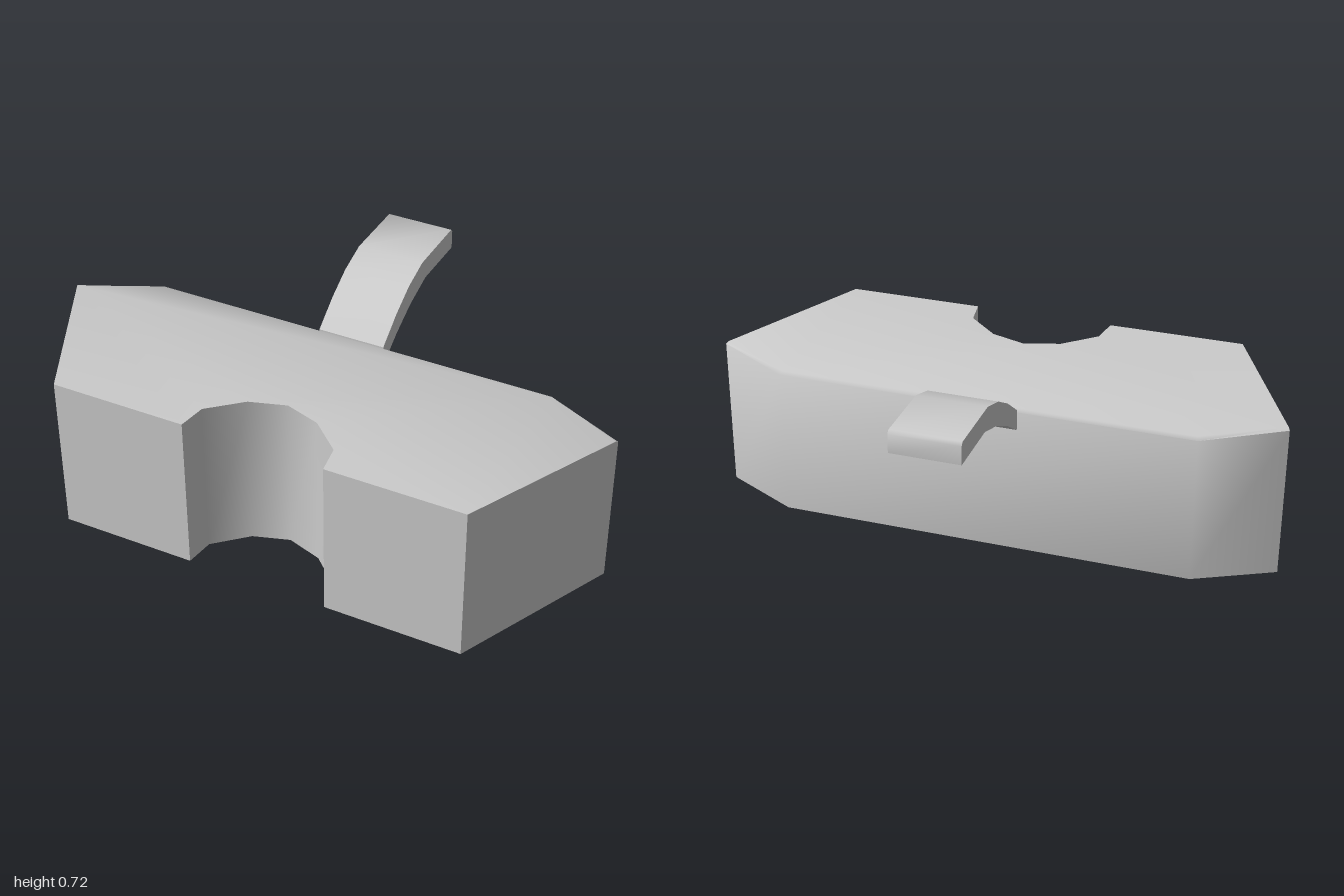
import * as THREE from 'three';
import { toCreasedNormals } from 'three/addons/utils/BufferGeometryUtils.js';

const material = new THREE.MeshStandardMaterial({ color: 0xcccccc, side: THREE.DoubleSide });

// Plan outline (x, z): right half from the notch centre to the back, then mirrored
const half = [[0, 0.38], [0.125, 0.42], [0.235, 0.52], [0.25, 0.62], [0.73, 0.62], [1, 0.07], [0.73, -0.07]];
const outline = [...half, ...half.slice(1).reverse().map(([x, z]) => [-x, z])];

// Body: hollow shell, open underneath, with a small bevel along the back of the top
function bodyGeometry() {
  const isBack = (z) => z < 0.1;
  const base = outline.map(([x, z]) => [x, 0.012 * (0.62 - z) / 0.69, z]);
  const rim = outline.map(([x, z]) => [x, z < 0 ? 0.541 : isBack(z) ? 0.553 : 0.565, z]);
  const top = outline.map(([x, z]) =>
    isBack(z) ? [x * 0.995, z < 0 ? 0.552 : 0.559, z + 0.01] : [x, 0.565, z]);

  const positions = [];
  const triangle = (a, b, c) => positions.push(...a, ...b, ...c);
  const band = (lower, upper, skip) => lower.forEach((a, i) => {
    const j = (i + 1) % lower.length;
    if (skip && !isBack(a[2]) && !isBack(lower[j][2])) return;
    if (!skip || isBack(lower[j][2])) triangle(a, lower[j], upper[j]);
    if (!skip || isBack(a[2])) triangle(a, upper[j], upper[i]);
  });
  band(base, rim, false);
  band(rim, top, true);

  const contour = top.map(([x, , z]) => new THREE.Vector2(x, -z));
  for (const [a, b, c] of THREE.ShapeUtils.triangulateShape(contour, [])) triangle(top[a], top[b], top[c]);

  const geometry = new THREE.BufferGeometry();
  geometry.setAttribute('position', new THREE.Float32BufferAttribute(positions, 3));
  return toCreasedNormals(geometry, 0.9);
}

// Handle: curved bar profile (distance behind centre, height) extruded across x
function handleGeometry() {
  const profile = [
    [0.07, 0.475], [0.175, 0.545], [0.28, 0.6], [0.4, 0.64], [0.62, 0.64],
    [0.62, 0.705], [0.61, 0.717], [0.37, 0.715], [0.265, 0.68], [0.17, 0.625], [0.07, 0.55],
  ];
  const shape = new THREE.Shape(profile.map(([d, y]) => new THREE.Vector2(d, y)));
  const geometry = new THREE.ExtrudeGeometry(shape, { depth: 0.24, bevelEnabled: false });
  geometry.translate(0, 0, -0.12).rotateY(Math.PI / 2);
  return toCreasedNormals(geometry, 0.9);
}

export function createModel() {
  const model = new THREE.Group();
  const add = (name, geometry) => {
    const mesh = new THREE.Mesh(geometry, material);
    mesh.name = name;
    model.add(mesh);
  };
  add('body', bodyGeometry());
  add('handle', handleGeometry());
  return model;
}
